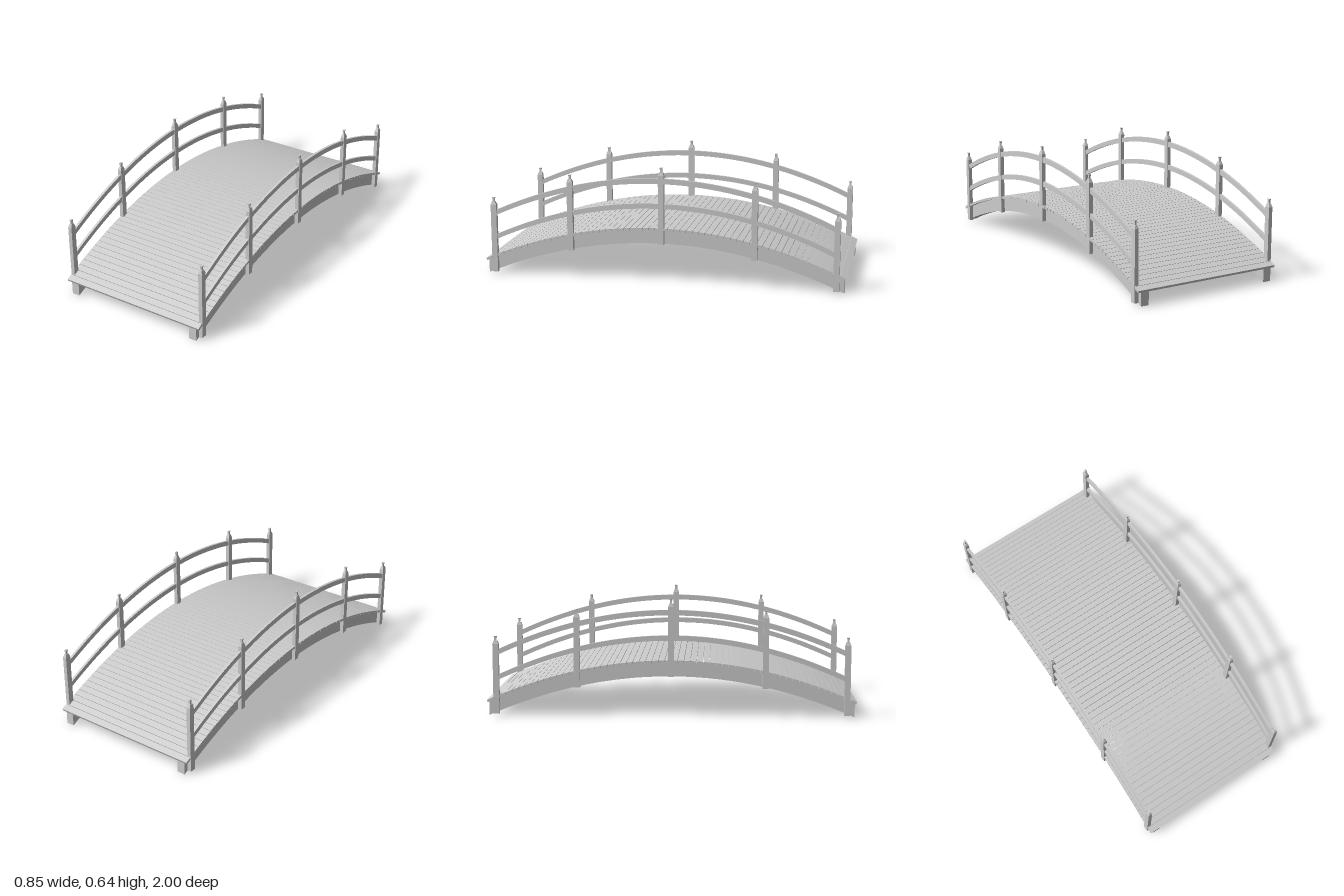
import * as THREE from 'three';

const material = new THREE.MeshStandardMaterial({ color: 0xcccccc });

// Height of an arch with its crown at z = 0
const arch = (crown, k, z) => crown - k * z * z;
const DECK_K = 0.222, RAIL_K = 0.247;

function addMesh(parent, geometry, name) {
  const mesh = new THREE.Mesh(geometry, material);
  mesh.name = name;
  parent.add(mesh);
  return mesh;
}

// Arched bar running along z: side profile extruded from x0 to x1
function archedBar(top, bottom, k, halfLength, x0, x1) {
  const n = 48, points = [];
  for (let i = 0; i <= n; i++) {
    const z = -halfLength + (2 * halfLength * i) / n;
    points.push(new THREE.Vector2(z, arch(bottom, k, z)));
  }
  for (let i = n; i >= 0; i--) {
    const z = -halfLength + (2 * halfLength * i) / n;
    points.push(new THREE.Vector2(z, arch(top, k, z)));
  }
  const geometry = new THREE.ExtrudeGeometry(new THREE.Shape(points), { depth: x1 - x0, bevelEnabled: false });
  return geometry.rotateY(Math.PI / 2).translate(x0, 0, 0);
}

// Rectangular frustum standing on y = 0
function taperedBlock(w, d, h, topScale) {
  const geometry = new THREE.BoxGeometry(w, h, d).translate(0, h / 2, 0);
  const p = geometry.attributes.position;
  for (let i = 0; i < p.count; i++) {
    if (p.getY(i) > h / 2) p.setXYZ(i, p.getX(i) * topScale, p.getY(i), p.getZ(i) * topScale);
  }
  geometry.computeVertexNormals();
  return geometry;
}

// Railing post with a chamfered head and a small finial
function createPost(z) {
  const post = new THREE.Group();
  post.name = 'post';
  const w = 0.022, d = 0.032;
  const bottom = arch(0.22, DECK_K, Math.abs(z) + (z ? 0.016 : 0));
  const tip = arch(0.642, 0.227, z);
  const shoulder = tip - 0.042;
  addMesh(post, new THREE.BoxGeometry(w, shoulder - bottom, d), 'postShaft').position.y = (shoulder + bottom) / 2;
  addMesh(post, taperedBlock(w, d, 0.018, 0.6), 'postHead').position.y = shoulder;
  addMesh(post, new THREE.BoxGeometry(0.009, 0.02, 0.012), 'finialNeck').position.y = shoulder + 0.026;
  addMesh(post, taperedBlock(0.01, 0.013, 0.008, 1.25), 'finialCap').position.y = tip - 0.008;
  post.position.z = z;
  return post;
}

export function createModel() {
  const model = new THREE.Group();
  model.name = 'archedFootbridge';

  // Deck planks, each tilted to follow the arch
  const deck = new THREE.Group();
  deck.name = 'deck';
  const count = 58, pitch = 2 / count, thickness = 0.014;
  for (let i = 0; i < count; i++) {
    const z = -1 + pitch * (i + 0.5);
    const tilt = Math.atan(2 * DECK_K * z);
    const length = (pitch - 0.002) / Math.cos(tilt);
    const plank = addMesh(deck, new THREE.BoxGeometry(0.852, thickness, length), 'plank');
    plank.position.set(0, arch(0.31 - thickness / 2, DECK_K, z), z);
    plank.rotation.x = tilt;
  }
  model.add(deck);

  // Beams, posts and rails on both sides
  for (const side of [1, -1]) {
    const half = new THREE.Group();
    half.name = side > 0 ? 'leftSide' : 'rightSide';
    const beam = archedBar(0.297, 0.22, DECK_K, 0.992, 0.36, 0.405);
    const topRail = archedBar(0.583, 0.554, RAIL_K, 0.95, 0.409, 0.423);
    const midRail = archedBar(0.445, 0.417, RAIL_K, 0.95, 0.409, 0.423);
    addMesh(half, beam, 'supportBeam');
    addMesh(half, topRail, 'topRail');
    addMesh(half, midRail, 'middleRail');
    for (const z of [-0.95, -0.51, 0, 0.51, 0.95]) {
      const post = createPost(z);
      post.position.x = 0.416;
      half.add(post);
    }
    if (side < 0) half.rotation.y = Math.PI;
    model.add(half);
  }
  return model;
}
